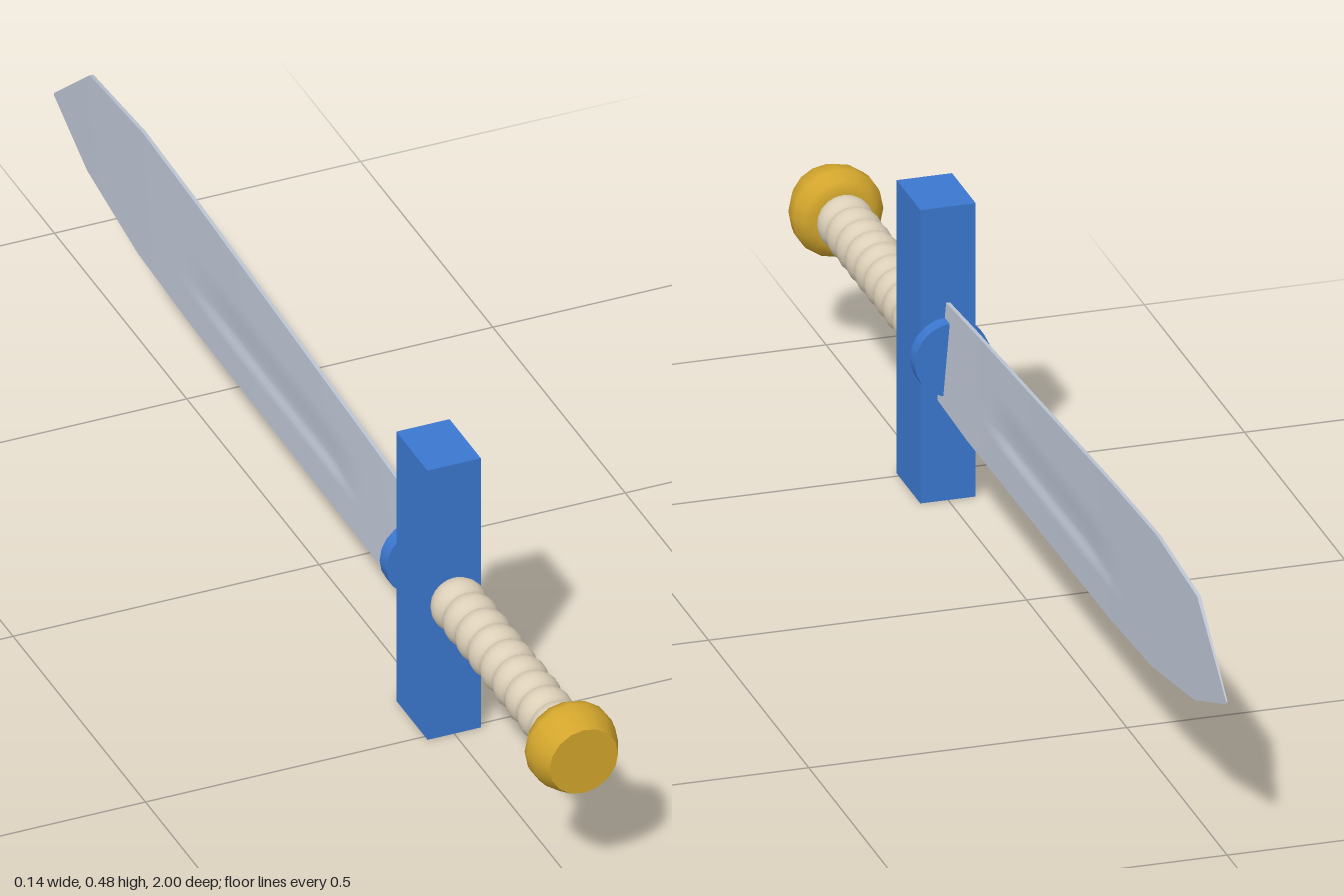
import * as THREE from 'three';

const CY = 0.24; // height of the long axis
const mat = (name, color) => {
  const m = new THREE.MeshStandardMaterial({ color });
  m.name = name;
  return m;
};

// Grid surface from point(i, j); runs forward in i, then j
function grid(ni, nj, point) {
  const pos = [], index = [];
  for (let i = 0; i <= ni; i++) for (let j = 0; j <= nj; j++) pos.push(...point(i, j));
  for (let i = 0; i < ni; i++) for (let j = 0; j < nj; j++) {
    const a = i * (nj + 1) + j, b = a + nj + 1;
    index.push(a, b, a + 1, b, b + 1, a + 1);
  }
  const g = new THREE.BufferGeometry();
  g.setAttribute('position', new THREE.Float32BufferAttribute(pos, 3));
  g.setIndex(index);
  g.computeVertexNormals();
  return g;
}

// Blade stations: z, bottom y, top y, half thickness of the spine
const STATIONS = [
  [0.41, 0.167, 0.322, 0.017], [0.25, 0.16, 0.333, 0.016], [-0.45, 0.16, 0.373, 0.012],
  [-0.66, 0.168, 0.381, 0.011], [-0.86, 0.196, 0.365, 0.007], [-1, 0.247, 0.25, 0.001],
];

function station(z) {
  let k = 0;
  while (k < STATIONS.length - 2 && z < STATIONS[k + 1][0]) k++;
  const a = STATIONS[k], b = STATIONS[k + 1], t = (z - a[0]) / (b[0] - a[0]);
  return a.map((v, n) => v + (b[n] - v) * t);
}

// Shallow hollow along the lower half of each side
function hollow(y, z) {
  const along = THREE.MathUtils.smoothstep(z, -0.52, -0.3) * (1 - THREE.MathUtils.smoothstep(z, 0.05, 0.18));
  const across = THREE.MathUtils.smoothstep(y, 0.212, 0.226) * (1 - THREE.MathUtils.smoothstep(y, 0.226, 0.29));
  return 0.005 * along * across;
}

function buildBlade(material) {
  const group = new THREE.Group();
  group.name = 'blade';
  const zs = STATIONS.map((s) => s[0]);
  for (let z = 0.2; z > -0.6; z -= 0.04) zs.push(z);
  zs.sort((a, b) => b - a);
  const rows = zs.map(station), ni = rows.length - 1, nj = 28;
  const edge = (w) => Math.min(w, 0.003);
  const add = (name, geometry) => {
    const m = new THREE.Mesh(geometry, material);
    m.name = name;
    group.add(m);
  };
  for (const s of [1, -1]) {
    add(s > 0 ? 'leftBladeSide' : 'rightBladeSide', grid(ni, nj, (i, j) => {
      const [z, y0, y1, w] = rows[i];
      const t = s > 0 ? j / nj : 1 - j / nj;
      const y = y0 + (y1 - y0) * t;
      return [s * (w + (edge(w) - w) * t - hollow(y, z)), y, z];
    }));
  }
  add('bladeSpine', grid(ni, 1, (i, j) => [(j * 2 - 1) * rows[i][3], rows[i][1], rows[i][0]]));
  add('bladeEdge', grid(ni, 1, (i, j) => [(1 - j * 2) * edge(rows[i][3]), rows[i][2], rows[i][0]]));
  return group;
}

export function createModel() {
  const steel = mat('steel', 0xbcc4d2);
  const blue = mat('blue', 0x3b78d0);
  const gold = mat('gold', 0xd2a52c);
  const wrap = mat('wrap', 0xdccfb8);
  const model = new THREE.Group();
  model.name = 'sword';

  const add = (name, geometry, material, z, y = CY) => {
    const m = new THREE.Mesh(geometry, material);
    m.name = name;
    m.position.set(0, y, z);
    model.add(m);
  };
  // Turned part along z from [radius, z] points
  const turned = (pts, sides) =>
    new THREE.LatheGeometry(pts.map((p) => new THREE.Vector2(...p)), sides).rotateX(Math.PI / 2);

  model.add(buildBlade(steel));

  // Cross guard and the round collar at the blade root
  add('guard', new THREE.BoxGeometry(0.087, 0.48, 0.118), blue, 0.451);
  add('collar', new THREE.CylinderGeometry(0.06, 0.06, 0.025, 20).rotateX(Math.PI / 2), blue, 0.3795);

  // Ribbed grip
  const ribs = 9, z0 = 0.505, z1 = 0.925, ribPoints = [];
  for (let k = 0; k <= ribs * 8; k++) {
    const bulge = Math.abs(Math.sin((k / 8) * Math.PI));
    ribPoints.push([0.036 + 0.008 * bulge, z0 + ((z1 - z0) * k) / (ribs * 8)]);
  }
  add('grip', turned(ribPoints, 20), wrap, 0);

  // Pommel with a flat end
  add('pommel', turned([[0.001, 0.912], [0.045, 0.914], [0.06, 0.922], [0.071, 0.94], [0.072, 0.95], [0.069, 0.97], [0.056, 1]], 16), gold, 0);
  add('pommelEnd', new THREE.CircleGeometry(0.056, 16), gold, 1);

  return model;
}
